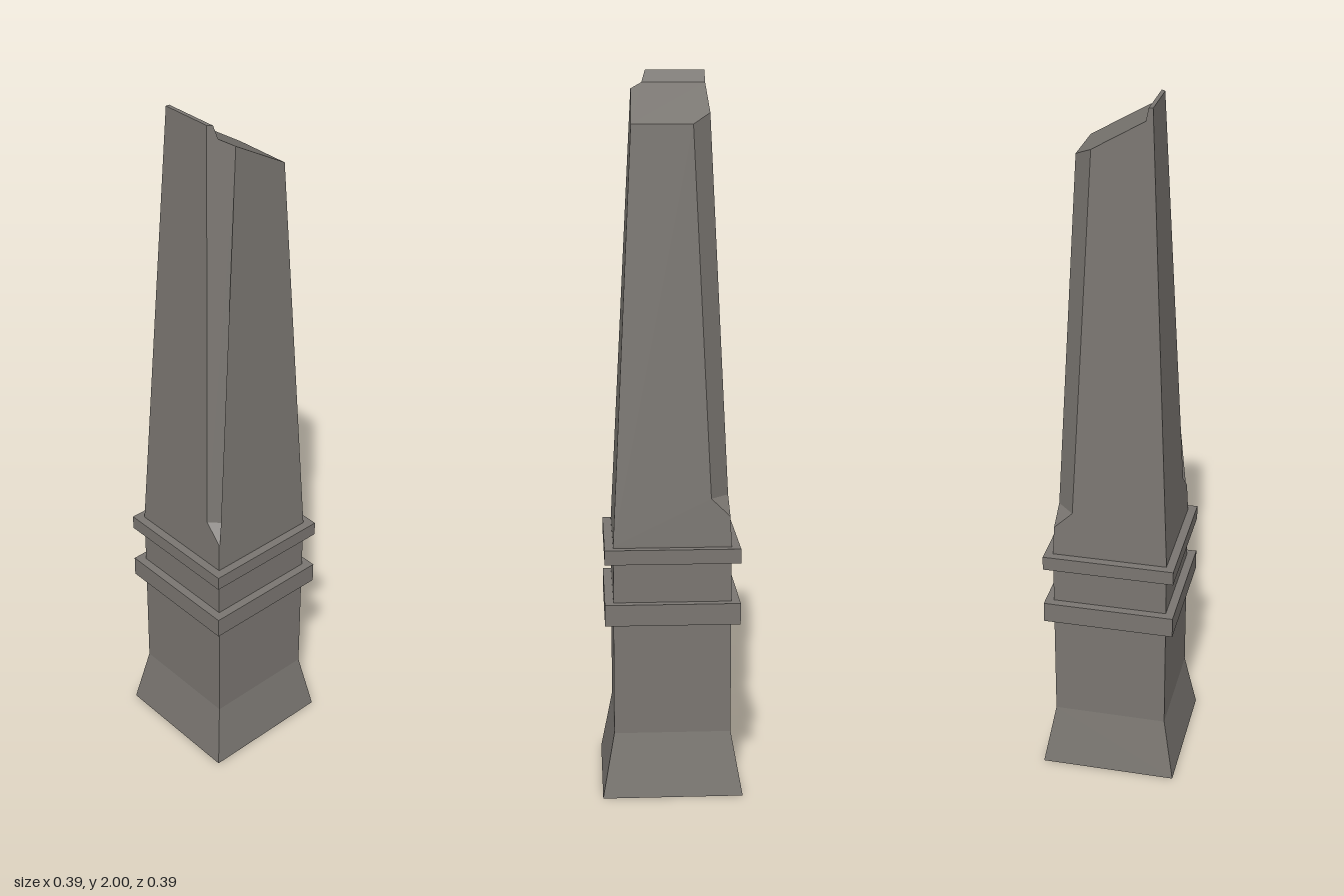
import * as THREE from 'three';

const stone = new THREE.MeshStandardMaterial({ color: 0x7a7671 });
stone.name = 'weathered stone';

const BASE = 0.72;   // height where the tapering shaft starts
const CUT = 0.05;    // width of the corner chamfers
const half = y => 0.163 - 0.0484 * (y - BASE);      // half width of the shaft
const slope = x => 1.966 - 0.576 * (x + 0.083);     // broken, slanting top

// Flat faces from corner loops, each turned to face away from the core
function facesToGeometry(loops) {
  const core = new THREE.Vector3(0, 0.75, 0);
  const pos = [];
  for (const loop of loops) {
    const p = loop.map(c => new THREE.Vector3(...c));
    const normal = new THREE.Vector3();
    const mid = new THREE.Vector3();
    p.forEach((a, i) => {
      normal.add(a.clone().cross(p[(i + 1) % p.length]));
      mid.addScaledVector(a, 1 / p.length);
    });
    const out = normal.dot(mid.sub(core)) > 0;
    for (let i = 1; i < p.length - 1; i++) {
      const tri = out ? [p[0], p[i], p[i + 1]] : [p[0], p[i + 1], p[i]];
      tri.forEach(v => pos.push(v.x, v.y, v.z));
    }
  }
  const g = new THREE.BufferGeometry();
  g.setAttribute('position', new THREE.Float32BufferAttribute(pos, 3));
  g.computeVertexNormals();
  return g;
}

function shaftGeometry() {
  const corner = (sx, sz, y) => [sx * half(y), y, sz * half(y)];
  // chamfer edges: s = -1 is the front corner at -x, s = 1 the back corner at +x
  const onSide = (s, y) => [s * half(y), y, -s * (half(y) - CUT)];
  const onFace = (s, y) => [s * (half(y) - CUT), y, -s * half(y)];
  const onBack = (x, y) => [x, y, -half(y)];
  const onCut = (x, y) => [x, y, x + 2 * half(y) - CUT];

  // bottom corners
  const fl = corner(-1, 1, BASE), fr = corner(1, 1, BASE);
  const bl = corner(-1, -1, BASE), br = corner(1, -1, BASE);
  // notches under the chamfers
  const tipF = corner(-1, 1, 0.8), tipB = corner(1, -1, 0.8);
  const sideF = onSide(-1, 0.85), faceF = onFace(-1, 0.85);
  const sideB = onSide(1, 0.85), faceB = onFace(1, 0.85);
  // slanting top
  const topFace = onFace(-1, slope(-0.0535));
  const topR = corner(1, 1, slope(0.108));
  const topSideB = onSide(1, slope(0.108));
  const topFaceB = onFace(1, slope(0.0566));
  const creaseB = onBack(-0.083, 1.966), creaseF = onCut(-0.083, 1.966);
  // raised lip
  const lipB = onBack(-0.09, 2), lipF = onCut(-0.09, 2);
  const edgeB = corner(-1, -1, 2), edgeF = onSide(-1, 2);

  return facesToGeometry([
    [fl, fr, topR, topFace, faceF, tipF],                     // front
    [fr, br, tipB, sideB, topSideB, topR],                    // +x side
    [bl, edgeB, lipB, creaseB, topFaceB, faceB, tipB, br],    // back
    [bl, fl, tipF, sideF, edgeF, edgeB],                      // -x side
    [sideF, faceF, topFace, creaseF, lipF, edgeF],            // front chamfer
    [sideB, faceB, topFaceB, topSideB],                       // back chamfer
    [tipF, sideF, faceF], [tipB, sideB, faceB],               // notches
    [topR, topSideB, topFaceB, creaseB, creaseF, topFace],    // slanting top
    [creaseB, creaseF, lipF, lipB],                           // lip riser
    [lipB, lipF, edgeF, edgeB],                               // lip top
  ]);
}

// Square hollow pedestal: four-sided lathe, from the inner ceiling round to the outside
function pedestalGeometry() {
  const profile = [[0, 0.68], [0.136, 0.68], [0.136, 0], [0.196, 0], [0.163, 0.18], [0.163, BASE]]
    .map(([r, y]) => new THREE.Vector2(r * Math.SQRT2, y));
  const g = new THREE.LatheGeometry(profile, 4, Math.PI / 4).toNonIndexed();
  g.computeVertexNormals();
  return g;
}

export function createModel() {
  const group = new THREE.Group();
  group.name = 'brokenObelisk';
  const add = (name, geometry, y = 0) => {
    const mesh = new THREE.Mesh(geometry, stone);
    mesh.name = name;
    mesh.position.y = y;
    group.add(mesh);
  };

  add('pedestal', pedestalGeometry());
  add('shaft', shaftGeometry());

  // square bands around the pedestal
  for (const [name, y0, y1] of [['lowerBand', 0.5, 0.56], ['upperBand', 0.674, 0.715]]) {
    const s = new THREE.Shape();
    const w = 0.187, h = 0.16;
    s.moveTo(-w, -w).lineTo(w, -w).lineTo(w, w).lineTo(-w, w).closePath();
    s.holes.push(new THREE.Path().moveTo(-h, -h).lineTo(-h, h).lineTo(h, h).lineTo(h, -h).closePath());
    const g = new THREE.ExtrudeGeometry(s, { depth: y1 - y0, bevelEnabled: false });
    add(name, g.rotateX(-Math.PI / 2), y0);
  }
  return group;
}
